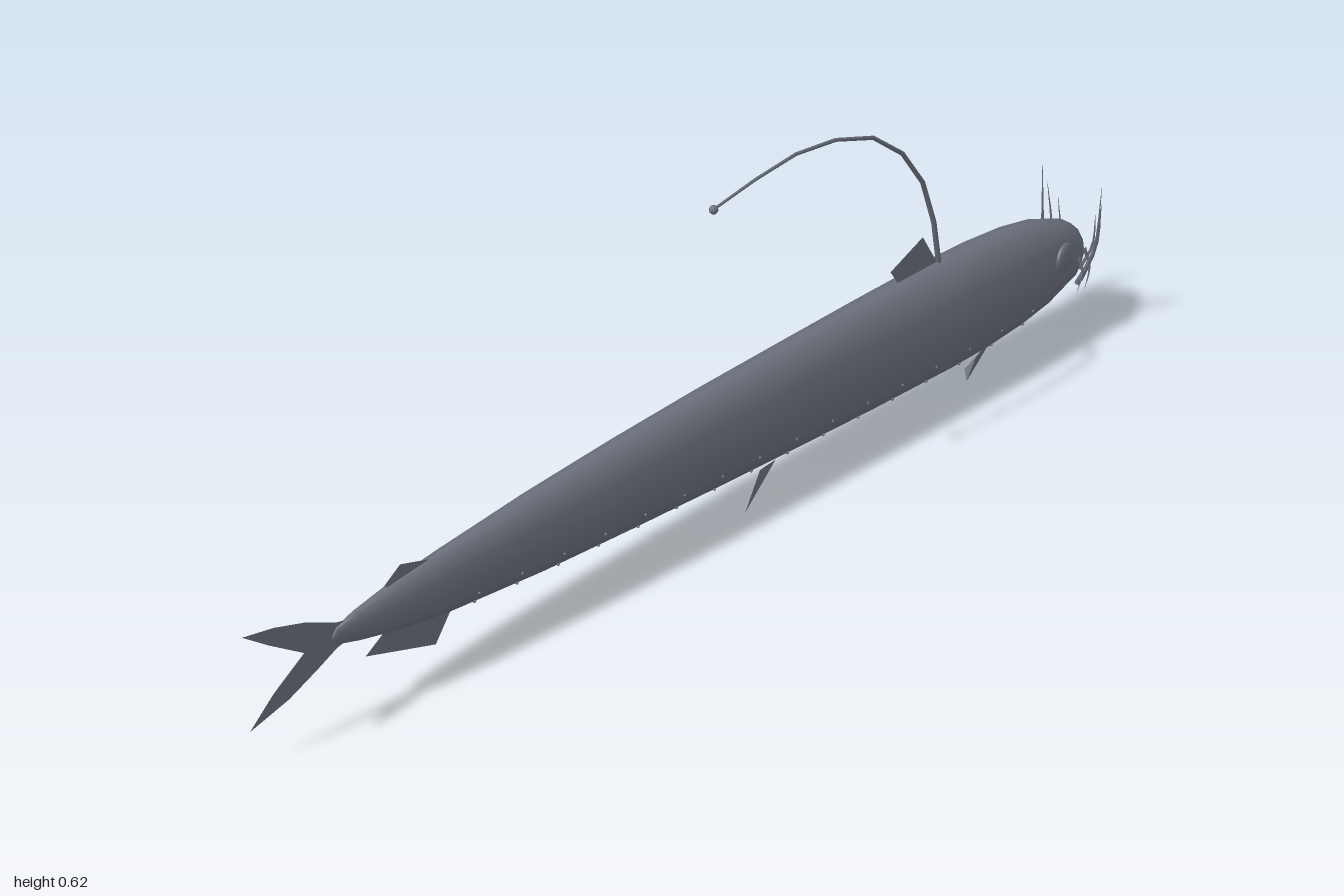
import * as THREE from 'three';

const skin = new THREE.MeshStandardMaterial({ color: 0x6a6f7a });
skin.name = 'slate grey skin';
const finSkin = new THREE.MeshStandardMaterial({ color: 0x6a6f7a, side: THREE.DoubleSide });
finSkin.name = 'slate grey fin';

// Body stations: z, top, bottom, half width
const stations = [
  [-0.992, 0.157, 0.147, 0.003], [-0.985, 0.175, 0.125, 0.02], [-0.97, 0.193, 0.1, 0.036],
  [-0.94, 0.214, 0.077, 0.05], [-0.88, 0.237, 0.058, 0.06], [-0.8, 0.252, 0.044, 0.065],
  [-0.7, 0.26, 0.036, 0.068], [-0.6, 0.262, 0.034, 0.068], [-0.4, 0.259, 0.037, 0.065],
  [-0.2, 0.254, 0.043, 0.061], [0, 0.248, 0.051, 0.057], [0.2, 0.238, 0.061, 0.052],
  [0.4, 0.225, 0.072, 0.044], [0.6, 0.206, 0.09, 0.033], [0.7, 0.194, 0.105, 0.025],
  [0.78, 0.18, 0.124, 0.014], [0.82, 0.168, 0.136, 0.006], [0.83, 0.153, 0.149, 0.001],
];

// Interpolated body section at z
function sectionAt(z) {
  let i = 0;
  while (i < stations.length - 2 && stations[i + 1][0] < z) i++;
  const a = stations[i], b = stations[i + 1], t = (z - a[0]) / (b[0] - a[0]);
  return a.map((v, k) => v + (b[k] - v) * t);
}

// Point on the skin; angle runs from the back (0) to the belly (PI)
function skinPoint([z, top, bottom, w], angle) {
  return new THREE.Vector3(Math.sin(angle) * w,
    (top + bottom) / 2 + Math.cos(angle) * (top - bottom) / 2, z);
}

function bodyGeometry(sides = 12) {
  const pos = [], idx = [];
  stations.forEach((s, i) => {
    for (let j = 0; j < sides; j++) {
      pos.push(...skinPoint(s, j / sides * Math.PI * 2).toArray());
      if (i === stations.length - 1) continue;
      const k = (j + 1) % sides, a = i * sides + j, b = i * sides + k;
      idx.push(a, a + sides, b, b, a + sides, b + sides);
    }
  });
  const g = new THREE.BufferGeometry();
  g.setAttribute('position', new THREE.Float32BufferAttribute(pos, 3));
  g.setIndex(idx);
  g.computeVertexNormals();
  return g;
}

// Tube that narrows from r0 to r1
function taperedTube(points, segments, sides, r0, r1) {
  const curve = new THREE.CatmullRomCurve3(points.map(p => new THREE.Vector3(...p)));
  const g = new THREE.TubeGeometry(curve, segments, r0, sides);
  const p = g.attributes.position, v = new THREE.Vector3();
  for (let i = 0; i < p.count; i++) {
    const u = Math.floor(i / (sides + 1)) / segments, c = curve.getPointAt(u);
    v.fromBufferAttribute(p, i).sub(c).multiplyScalar(1 + (r1 / r0 - 1) * u).add(c);
    p.setXYZ(i, v.x, v.y, v.z);
  }
  return g;
}

// Flat upright fin from (z, y) points
function medianFin(points) {
  const shape = new THREE.Shape(points.map(([z, y]) => new THREE.Vector2(z, y)));
  return new THREE.ShapeGeometry(shape).rotateY(-Math.PI / 2);
}

// Flat fin fan from 3D corners
function sideFin(points) {
  const g = new THREE.BufferGeometry();
  g.setAttribute('position', new THREE.Float32BufferAttribute(points.flat(), 3));
  const idx = [];
  for (let i = 1; i < points.length - 1; i++) idx.push(0, i, i + 1);
  g.setIndex(idx);
  g.computeVertexNormals();
  return g;
}

export function createModel() {
  const model = new THREE.Group();
  const add = (name, geometry, material = skin) => {
    const m = new THREE.Mesh(geometry, material);
    m.name = name;
    model.add(m);
    return m;
  };

  add('body', bodyGeometry());

  // Fins on the centre line
  add('tailFin', medianFin([[0.77, 0.165], [0.82, 0.178], [0.88, 0.208], [0.94, 0.228], [1, 0.24],
    [0.95, 0.2], [0.885, 0.153], [0.95, 0.108], [1, 0.062], [0.92, 0.083], [0.86, 0.11],
    [0.82, 0.13], [0.77, 0.14]]), finSkin);
  add('dorsalFin', medianFin([[-0.595, 0.25], [-0.547, 0.328], [-0.463, 0.29], [-0.49, 0.25]]), finSkin);
  add('rearDorsalFin', medianFin([[0.6, 0.195], [0.685, 0.222], [0.72, 0.197], [0.7, 0.185]]), finSkin);
  add('analFin', medianFin([[0.575, 0.1], [0.625, 0.035], [0.765, 0.085], [0.72, 0.115]].reverse()
    .map(([z, y]) => [z === 0.625 ? 0.62 : z, y]), finSkin), finSkin);

  // Long first ray with a glowing bulb
  add('lureRay', taperedTube([[0, 0.25, -0.595], [0, 0.4, -0.56], [0, 0.5, -0.5], [0, 0.57, -0.42],
    [0, 0.608, -0.31], [0, 0.616, -0.19], [0, 0.602, -0.1], [0, 0.587, -0.02]], 8, 5, 0.0055, 0.0025));
  const bulb = add('lureBulb', new THREE.SphereGeometry(0.008, 8, 6));
  bulb.position.set(0, 0.586, -0.017);

  for (const s of [1, -1]) {
    const side = s > 0 ? 'left' : 'right';
    const flip = pts => pts.map(([x, y, z]) => [x * s, y, z]);

    add(side + 'PectoralFin', sideFin(flip([[0.052, 0.08, -0.69], [0.066, 0.073, -0.63],
      [0.08, 0.045, -0.59], [0.057, 0.052, -0.61]])), finSkin);
    add(side + 'PelvicFin', sideFin(flip([[0.022, 0.05, -0.15], [0.032, 0.055, -0.1],
      [0.05, 0.001, -0.045]])), finSkin);

    // Shallow eye on the side of the head
    const eye = add(side + 'Eye', new THREE.SphereGeometry(0.03, 16, 10));
    eye.scale.set(0.35, 1, 1);
    eye.position.set(s * 0.052, 0.17, -0.89);
    eye.rotation.y = s * 0.2;

    // Long curved fangs rising from the lower jaw, then short ones
    const fangs = [
      [[0.042, 0.09, -0.945], [0.062, 0.16, -0.965], [0.071, 0.296, -0.965], 0.005],
      [[0.038, 0.09, -0.962], [0.054, 0.16, -0.982], [0.065, 0.255, -0.975], 0.0045],
      [[0.025, 0.105, -0.972], [0.038, 0.15, -0.99], [0.045, 0.225, -0.985], 0.004],
      [[0.046, 0.165, -0.955], [0.058, 0.125, -0.96], [0.061, 0.085, -0.945], 0.004],
      [[0.05, 0.155, -0.935], [0.062, 0.125, -0.935], [0.063, 0.09, -0.92], 0.0035],
    ];
    fangs.forEach(([a, b, c, r], i) =>
      add(side + 'Fang' + (i + 1), taperedTube(flip([a, b, c]), 6, 5, r, 0.0003)));

    // Two rows of small light organs along the lower flank
    for (const [row, angle] of [['Upper', 2.1], ['Lower', 2.6]]) {
      for (let i = 0; i < 16; i++) {
        const spot = add(side + row + 'LightOrgan', new THREE.SphereGeometry(0.004, 6, 4));
        spot.position.copy(skinPoint(sectionAt(-0.8 + i * 0.09), s * angle));
        spot.scale.setScalar(0.8);
      }
    }
  }
  return model;
}
